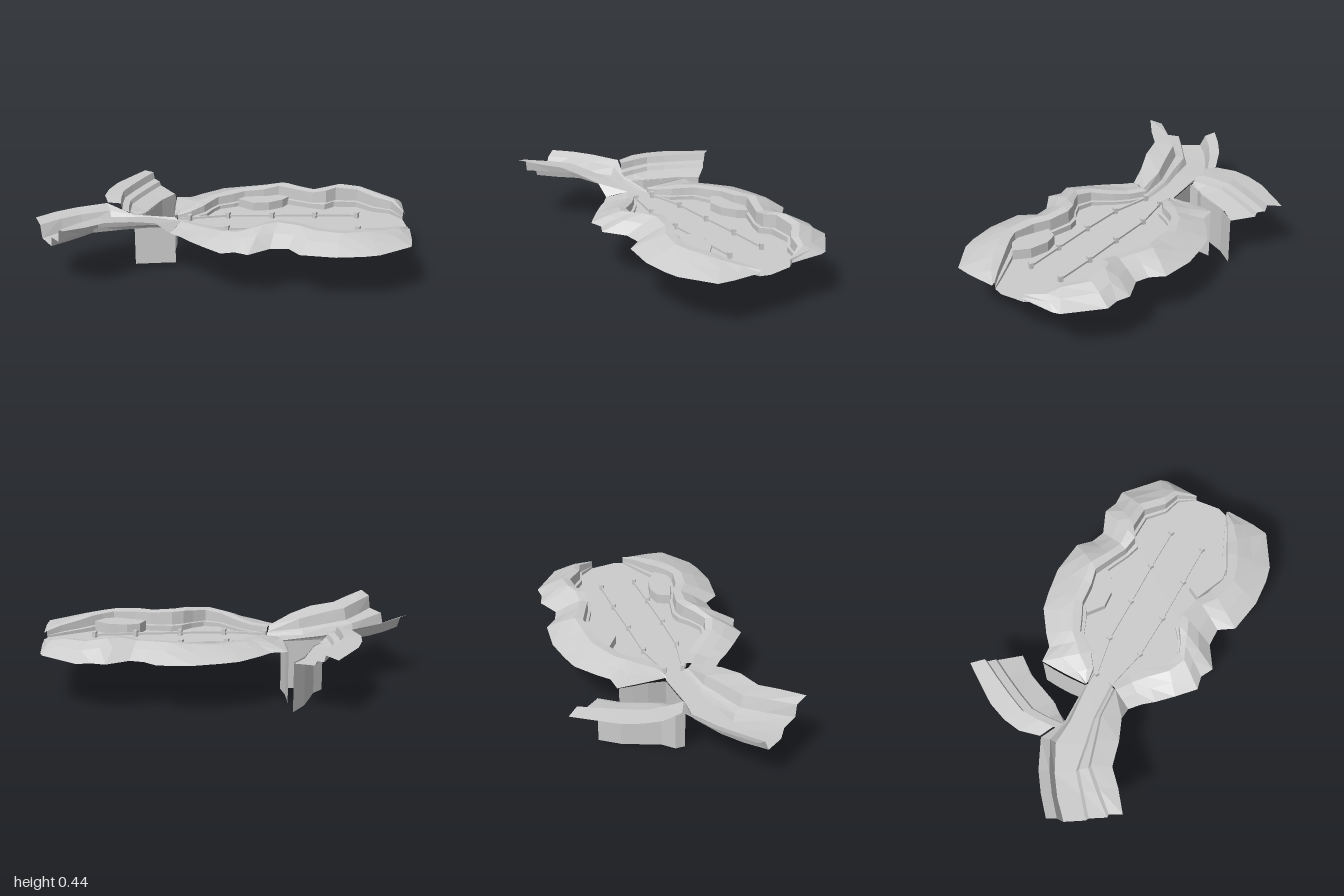
import * as THREE from 'three';

const FLOOR = 0.28;
const rock = new THREE.MeshStandardMaterial({ color: 0xcccccc, flatShading: true, side: THREE.DoubleSide });

function add(group, name, geometry) {
  const mesh = new THREE.Mesh(geometry, rock);
  mesh.name = name;
  group.add(mesh);
  return mesh;
}

// Skin a surface over equal-length rows of [x, y, z] points.
function loft(rows) {
  const n = rows[0].length, index = [];
  for (let i = 0; i < rows.length - 1; i++) {
    for (let j = 0; j < n - 1; j++) {
      const a = i * n + j, b = a + n;
      index.push(a, b, a + 1, a + 1, b, b + 1);
    }
  }
  const g = new THREE.BufferGeometry();
  g.setAttribute('position', new THREE.Float32BufferAttribute(rows.flat(2), 3));
  g.setIndex(index);
  g.computeVertexNormals();
  return g;
}

// Flat or raised plan shape from [x, z] points.
function slab(points, y, height) {
  const shape = new THREE.Shape(points.map(([x, z]) => new THREE.Vector2(x, -z)));
  const g = height
    ? new THREE.ExtrudeGeometry(shape, { depth: height, bevelEnabled: false })
    : new THREE.ShapeGeometry(shape);
  return g.rotateX(-Math.PI / 2).translate(0, y, 0);
}

// Rim stations: inner x, z, outer x, z, crest height.
const backRim = [
  [-0.38, 0.06, -0.40, 0.06, 0.31], [-0.30, 0.02, -0.46, -0.05, 0.33],
  [-0.25, -0.06, -0.53, -0.19, 0.345], [-0.25, -0.14, -0.45, -0.24, 0.35],
  [-0.24, -0.20, -0.42, -0.32, 0.355], [-0.18, -0.27, -0.35, -0.46, 0.36],
  [-0.14, -0.33, -0.27, -0.53, 0.365], [-0.04, -0.39, -0.15, -0.62, 0.375],
  [0.02, -0.45, 0.03, -0.69, 0.39], [0.14, -0.46, 0.12, -0.66, 0.385],
  [0.24, -0.465, 0.20, -0.67, 0.38], [0.32, -0.48, 0.29, -0.78, 0.40],
  [0.35, -0.55, 0.37, -0.79, 0.405], [0.47, -0.61, 0.44, -0.83, 0.39],
  [0.59, -0.58, 0.68, -0.77, 0.375], [0.69, -0.60, 0.71, -0.74, 0.36],
  [0.79, -0.55, 0.80, -0.56, 0.33],
];
const frontRim = [
  [0.88, -0.37, 0.90, -0.37, 0.32], [0.82, -0.30, 0.97, -0.22, 0.34],
  [0.74, -0.20, 1.00, -0.13, 0.355], [0.70, -0.15, 0.89, 0.06, 0.37],
  [0.66, -0.09, 0.82, 0.12, 0.375], [0.62, -0.04, 0.69, 0.20, 0.38],
  [0.50, -0.01, 0.50, 0.26, 0.385], [0.40, -0.01, 0.41, 0.21, 0.39],
  [0.27, 0.02, 0.32, 0.26, 0.40], [0.22, 0.06, 0.25, 0.39, 0.40],
  [0.19, 0.13, 0.17, 0.39, 0.39], [0.14, 0.20, 0.11, 0.44, 0.38],
  [0.05, 0.22, -0.02, 0.405, 0.365], [-0.08, 0.17, -0.13, 0.37, 0.345],
  [-0.17, 0.15, -0.20, 0.34, 0.335], [-0.28, 0.14, -0.28, 0.32, 0.335],
];

// Low step, wall, broad crest and outer slope at each station.
function rimGeometry(stations) {
  const profile = [[0, 0], [0, 0.28], [0.08, 0.3], [0.09, 0.94], [0.3, 1], [0.62, 0.72]];
  return loft(stations.map(([ix, iz, ox, oz, crest]) => {
    const row = profile.map(([t, h]) => [ix + (ox - ix) * t, FLOOR + (crest - FLOOR) * h, iz + (oz - iz) * t]);
    row.push([ox, 0.308, oz]);
    return row;
  }));
}

// Rail of straight bars strung between posts.
function fence(points) {
  const group = new THREE.Group();
  group.name = 'fence';
  points.forEach(([x, z], i) => {
    add(group, 'post', new THREE.BoxGeometry(0.024, 0.035, 0.024)).position.set(x, FLOOR + 0.0175, z);
    if (i === 0) return;
    const [px, pz] = points[i - 1];
    const rail = add(group, 'rail', new THREE.BoxGeometry(Math.hypot(x - px, z - pz), 0.012, 0.012));
    rail.position.set((x + px) / 2, FLOOR + 0.015, (z + pz) / 2);
    rail.rotation.y = -Math.atan2(z - pz, x - px);
  });
  return group;
}

export function createModel() {
  const model = new THREE.Group();
  model.name = 'terrain';

  // Main basin
  const inner = (rim) => rim.map(([x, z]) => [x, z]);
  add(model, 'basinFloor', slab([...inner(backRim), [0.87, -0.43], ...inner(frontRim)], FLOOR));
  add(model, 'backRim', rimGeometry(backRim));
  add(model, 'frontRim', rimGeometry(frontRim));

  // Rock shelves against the walls
  add(model, 'backShelf', slab([[-0.16, -0.29], [-0.05, -0.27], [0.03, -0.32], [0.08, -0.40],
    [0.09, -0.465], [0.02, -0.46], [-0.04, -0.40], [-0.14, -0.345]], FLOOR, 0.05));
  add(model, 'frontShelf', slab([[0.42, -0.01], [0.42, -0.09], [0.48, -0.14], [0.59, -0.165],
    [0.69, -0.14], [0.66, -0.06], [0.61, -0.025]], FLOOR, 0.06));

  // Stepped passage from the south-west mouth to the basin
  add(model, 'passage', loft([
    [[-1, 0.37, 0.6], [-0.95, 0.345, 0.63], [-0.925, 0.275, 0.65], [-0.82, 0.27, 0.71],
      [-0.805, 0.33, 0.722], [-0.72, 0.34, 0.775], [-0.71, 0.415, 0.78], [-0.65, 0.435, 0.825]],
    [[-0.95, 0.37, 0.47], [-0.90, 0.345, 0.50], [-0.88, 0.275, 0.515], [-0.765, 0.27, 0.575],
      [-0.75, 0.325, 0.585], [-0.69, 0.335, 0.62], [-0.675, 0.41, 0.63], [-0.59, 0.42, 0.69]],
    [[-0.89, 0.365, 0.35], [-0.84, 0.34, 0.38], [-0.82, 0.275, 0.395], [-0.715, 0.275, 0.45],
      [-0.70, 0.32, 0.46], [-0.655, 0.33, 0.485], [-0.64, 0.40, 0.495], [-0.55, 0.41, 0.57]],
    [[-0.78, 0.36, 0.20], [-0.74, 0.33, 0.23], [-0.72, FLOOR, 0.25], [-0.59, FLOOR, 0.35],
      [-0.575, 0.31, 0.36], [-0.55, 0.32, 0.38], [-0.535, 0.385, 0.39], [-0.44, 0.40, 0.47]],
    [[-0.61, 0.31, 0.18], [-0.595, 0.30, 0.185], [-0.585, FLOOR, 0.19], [-0.47, FLOOR, 0.25],
      [-0.46, 0.30, 0.26], [-0.44, 0.31, 0.27], [-0.43, 0.365, 0.28], [-0.35, 0.37, 0.36]],
    [[-0.40, 0.29, 0.06], [-0.39, 0.285, 0.06], [-0.38, FLOOR, 0.06], [-0.28, FLOOR, 0.14],
      [-0.28, 0.295, 0.155], [-0.28, 0.30, 0.17], [-0.28, 0.335, 0.19], [-0.28, 0.308, 0.32]],
  ]));

  // Side ledge: west x, step x, east x, z for each section, slightly skewed
  const ledge = [
    [-0.88, -0.79, -0.60, -0.34], [-0.895, -0.79, -0.625, -0.22], [-0.91, -0.785, -0.61, -0.09],
    [-0.895, -0.775, -0.60, 0.02], [-0.86, -0.73, -0.61, 0.11], [-0.78, -0.68, -0.61, 0.19],
  ];
  add(model, 'sideLedge', loft(ledge.map(([w, s, e, z], i) => {
    const skew = 0.05 * (1 - i / 5);
    return [[w, 0.36, z - skew], [s - 0.01, 0.37, z - skew * 0.4], [s, 0.33, z - skew * 0.3],
      [s + 0.045, 0.325, z], [s + 0.055, 0.30, z], [e, FLOOR, z + skew]];
  })));

  // Deep cliff below the gap between ledge and basin
  const cliff = [[-0.60, -0.29], [-0.62, -0.16], [-0.61, -0.04], [-0.60, 0.06], [-0.625, 0.14],
    [-0.60, 0.19], [-0.51, 0.13], [-0.40, 0.06], [-0.46, -0.03], [-0.50, -0.11], [-0.53, -0.18]];
  add(model, 'cliff', loft(cliff.map(([x, z], i) => [[x, 0, z], [x, i > 7 ? 0.308 : 0.285, z]])));

  // Fences along the path
  model.add(fence([[-0.31, 0.04], [-0.13, -0.10], [0.10, -0.22], [0.32, -0.34], [0.54, -0.45]]));
  model.add(fence([[-0.27, 0.14], [-0.04, 0.08], [0.19, -0.03], [0.42, -0.15], [0.63, -0.26]]));

  return model;
}
